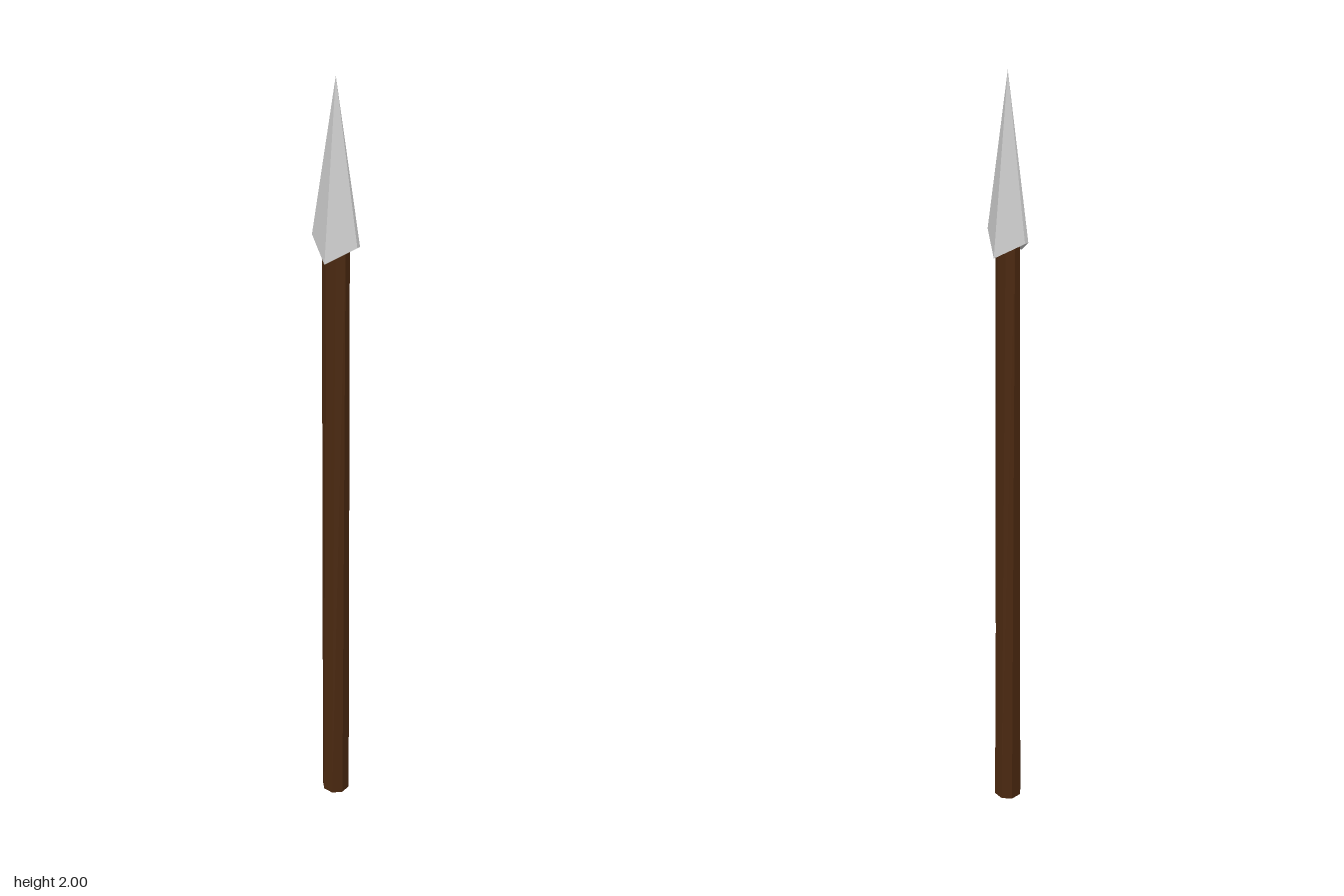
import * as THREE from 'three';

// Eight-sided shaft: constant width in x, tapering in z towards the head
function buildShaft() {
  const height = 1.62, half = 0.034, topDepth = 0.55;
  const geo = new THREE.CylinderGeometry(half / Math.cos(Math.PI / 8), half / Math.cos(Math.PI / 8), height, 8);
  geo.rotateY(Math.PI / 8);
  geo.translate(0, height / 2, 0);
  const pos = geo.attributes.position;
  for (let i = 0; i < pos.count; i++) {
    const t = pos.getY(i) / height;
    pos.setZ(i, pos.getZ(i) * THREE.MathUtils.lerp(1, topDepth, t));
  }
  geo.computeVertexNormals();
  const mesh = new THREE.Mesh(geo, new THREE.MeshStandardMaterial({ color: 0x4a2810, flatShading: true }));
  mesh.name = 'shaft';
  return mesh;
}

// Diamond-section blade: six-cornered rim joined to the tip and to a raised base centre
function buildBlade() {
  const tip = [0, 2, 0], base = [0, 1.6, 0];
  const w = 0.065, edge = 0.005, depth = 0.042, shoulder = 1.62, ridge = 1.575;
  const rim = [
    [w, shoulder, edge], [w, shoulder, -edge], [0, ridge, -depth],
    [-w, shoulder, -edge], [-w, shoulder, edge], [0, ridge, depth],
  ];
  const points = [];
  rim.forEach((a, i) => {
    const b = rim[(i + 1) % rim.length];
    points.push(...a, ...b, ...tip, ...b, ...a, ...base);
  });
  const geo = new THREE.BufferGeometry();
  geo.setAttribute('position', new THREE.Float32BufferAttribute(points, 3));
  geo.computeVertexNormals();
  const mesh = new THREE.Mesh(geo, new THREE.MeshStandardMaterial({ color: 0xcccccc, flatShading: true }));
  mesh.name = 'blade';
  return mesh;
}

export function createModel() {
  const spear = new THREE.Group();
  spear.name = 'spear';
  spear.add(buildShaft(), buildBlade());
  return spear;
}
